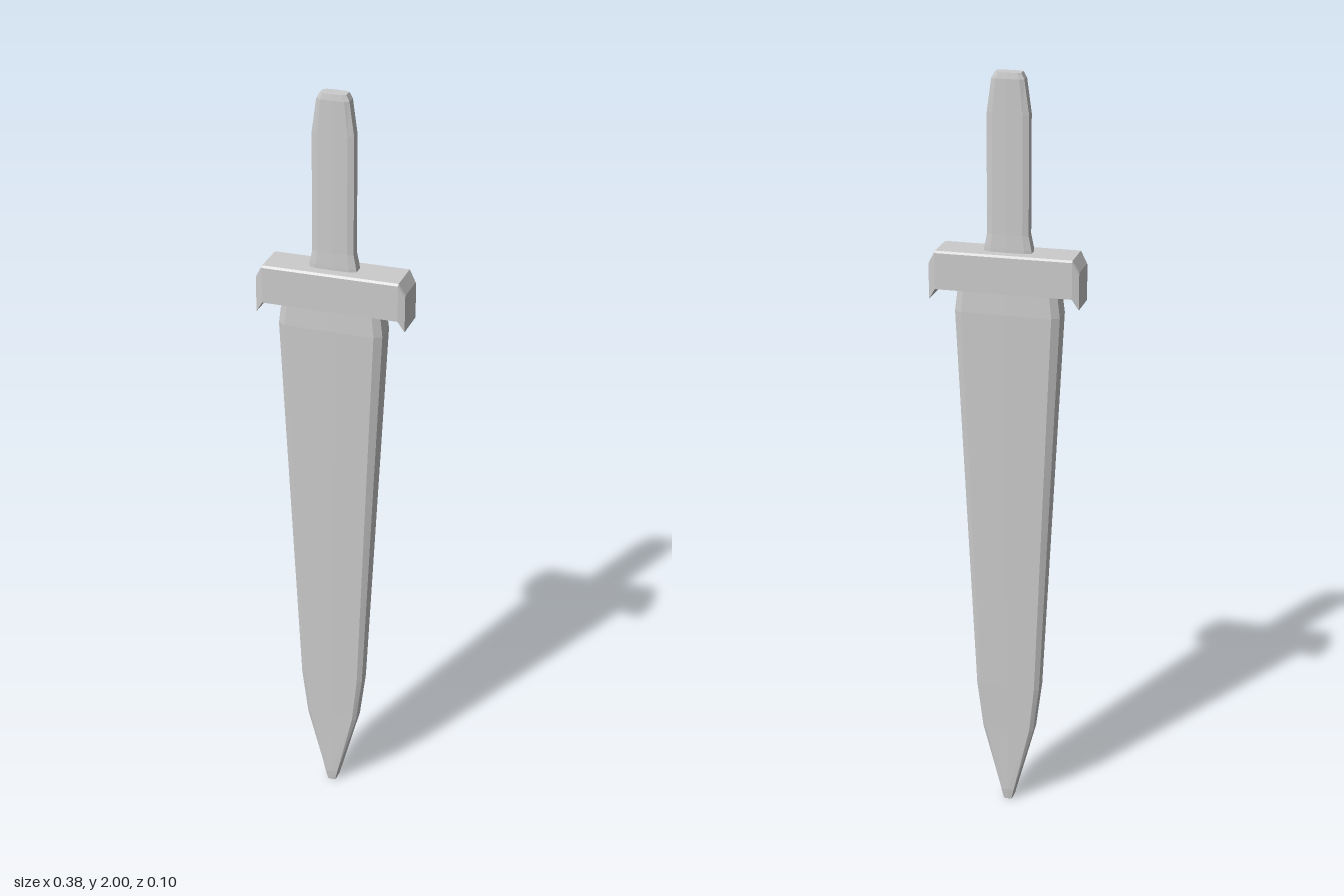
import * as THREE from 'three';

const material = new THREE.MeshStandardMaterial({ color: 0xcccccc, flatShading: true });

// Joins closed rings of [x, y, z] points, listed from the bottom upwards, and caps both ends
function loft(name, rings) {
  const positions = [];
  const tri = (...points) => points.forEach((p) => positions.push(...p));
  const n = rings[0].length;
  const centre = (ring) => [0, 1, 2].map((k) => ring.reduce((sum, p) => sum + p[k], 0) / n);
  const first = rings[0], last = rings[rings.length - 1];
  const firstCentre = centre(first), lastCentre = centre(last);
  for (let i = 0; i < n; i++) {
    const j = (i + 1) % n;
    for (let r = 0; r < rings.length - 1; r++) {
      const lower = rings[r], upper = rings[r + 1];
      tri(lower[i], upper[i], lower[j]);
      tri(lower[j], upper[i], upper[j]);
    }
    tri(firstCentre, first[i], first[j]);
    tri(lastCentre, last[j], last[i]);
  }
  const geometry = new THREE.BufferGeometry();
  geometry.setAttribute('position', new THREE.Float32BufferAttribute(positions, 3));
  geometry.computeVertexNormals();
  const mesh = new THREE.Mesh(geometry, material);
  mesh.name = name;
  return mesh;
}

// Flat bevelled cross-section with blunt edges, scaled to half width w and half depth d
const section = (outline, x0) => ([y, w, d]) => outline.map(([u, v]) => [x0 + u * w, y, v * d]);
const mirrorOutline = (inset, edge, shoulder) => [
  [1, -edge], [1, edge], [inset, shoulder], [0, 1], [-inset, shoulder],
  [-1, edge], [-1, -edge], [-inset, -shoulder], [0, -1], [inset, -shoulder],
];

export function createModel() {
  const group = new THREE.Group();

  // Blade: [height, half width, half depth]
  const blade = [
    [0, 0.012, 0.022], [0.03, 0.02, 0.025], [0.22, 0.07, 0.026], [0.35, 0.086, 0.028],
    [1.4, 0.135, 0.042], [1.48, 0.125, 0.039],
  ];
  group.add(loft('blade', blade.map(section(mirrorOutline(0.86, 0.65, 0.96), -0.005))));

  // Grip: flared foot, straight shaft, tapered top
  const grip = [
    [1.54, 0.062, 0.021], [1.565, 0.06, 0.021], [1.6, 0.053, 0.02], [1.9, 0.053, 0.02],
    [1.985, 0.041, 0.02], [2, 0.033, 0.018],
  ];
  group.add(loft('grip', grip.map(section(mirrorOutline(0.72, 0.65, 0.93), -0.003))));

  // Crossguard: sections along x as [x, bottom, top, half depth], ends hooked downwards
  const guard = [
    [-0.192, 1.43, 1.526, 0.046], [-0.175, 1.458, 1.556, 0.051],
    [0.175, 1.458, 1.556, 0.051], [0.192, 1.43, 1.526, 0.046],
  ];
  const c = 0.005;
  group.add(loft('crossguard', guard.map(([x, bottom, top, d]) => [
    [x, bottom, -d], [x, bottom, d], [x, top - c, d],
    [x, top, d - c], [x, top, c - d], [x, top - c, -d],
  ])));

  return group;
}
